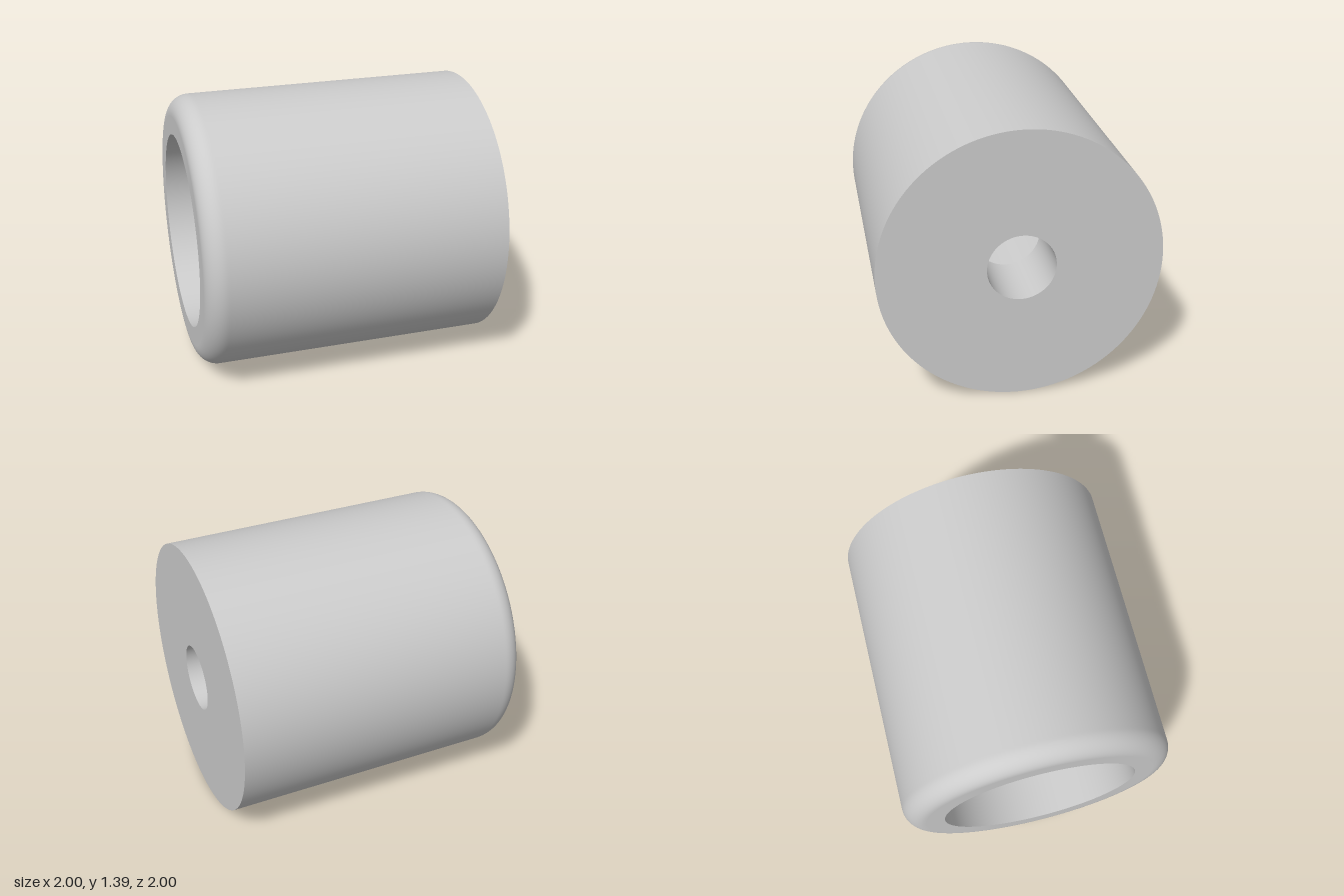
import * as THREE from 'three';

const R = 0.693, BORE = 0.495, HOLE = 0.168, FILLET = 0.1;
const BACK = -0.721, FRONT = 0.779, FLOOR = BACK + 0.36;

export function createModel() {
  const model = new THREE.Group();
  model.name = 'bushing';
  const material = new THREE.MeshStandardMaterial({ color: 0xcccccc });

  // Each surface is turned separately so the edges between them stay sharp
  const turn = (name, profile) => {
    const points = profile.map(([r, a]) => new THREE.Vector2(r, a));
    const mesh = new THREE.Mesh(new THREE.LatheGeometry(points, 128), material);
    mesh.name = name;
    model.add(mesh);
  };

  // Outer wall running into the rounded front rim
  const wall = [[R, BACK], [R, FRONT - FILLET - 0.01]];
  for (let i = 0; i <= 16; i++) {
    const t = (i / 16) * Math.PI / 2;
    wall.push([R - FILLET + FILLET * Math.cos(t), FRONT - FILLET + FILLET * Math.sin(t)]);
  }
  turn('outerWall', wall);
  turn('frontRing', [[R - FILLET, FRONT], [BORE, FRONT]]);

  // Wide bore from the front, narrow through hole in the thick back wall
  turn('bore', [[BORE, FRONT], [BORE, FLOOR]]);
  turn('boreFloor', [[BORE, FLOOR], [HOLE, FLOOR]]);
  turn('throughHole', [[HOLE, FLOOR], [HOLE, BACK]]);
  turn('backFace', [[HOLE, BACK], [R, BACK]]);

  // Lay the axis flat, with the open end turned toward -x and +z
  model.rotation.set(Math.PI / 2, -Math.PI / 4, 0, 'YXZ');
  model.position.y = R;

  const root = new THREE.Group();
  root.add(model);
  return root;
}
